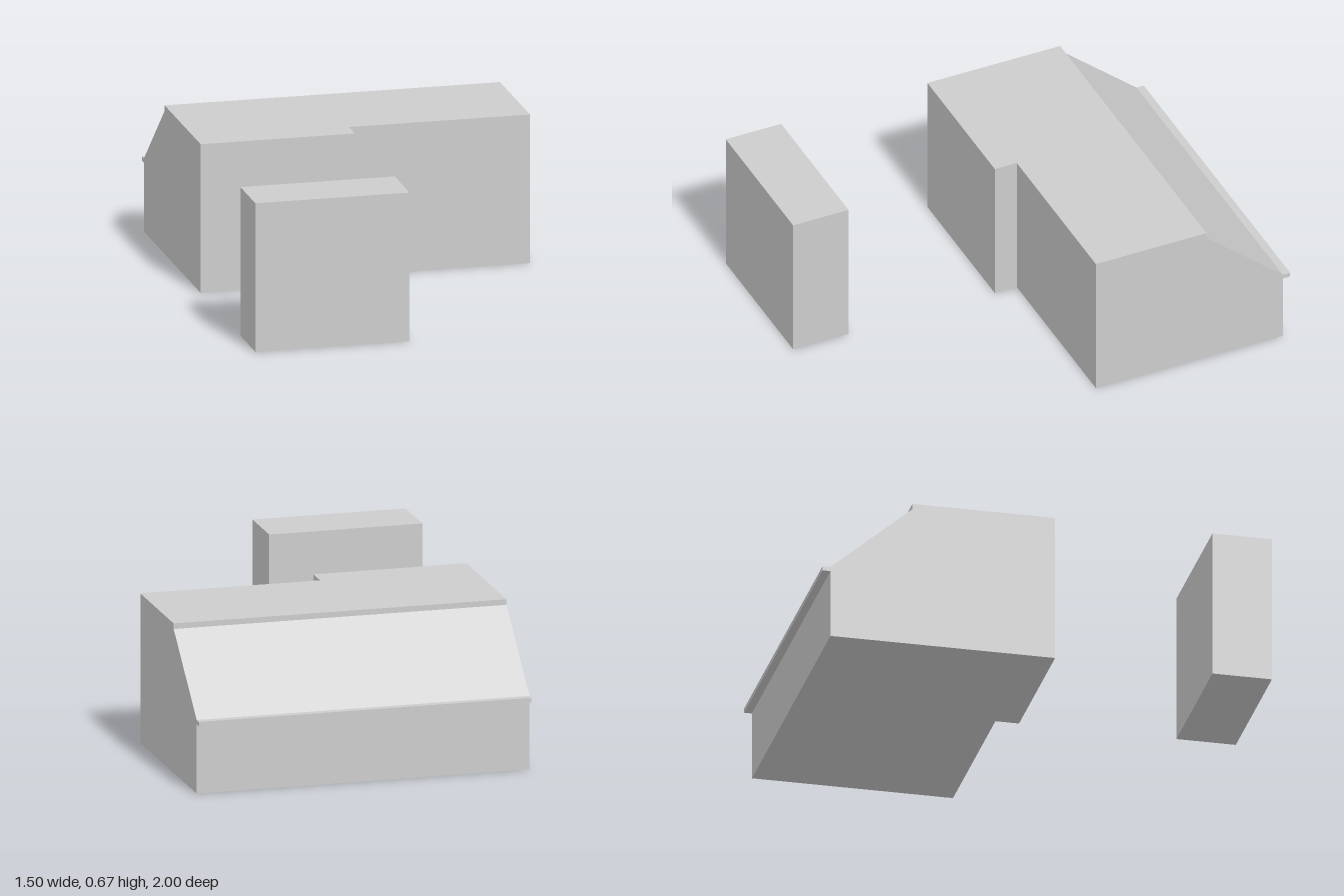
import * as THREE from 'three';

export function createModel() {
  const group = new THREE.Group();
  const grey = new THREE.MeshStandardMaterial({ color: 0xcccccc });
  grey.name = 'plain grey';

  const add = (name, geometry) => {
    const mesh = new THREE.Mesh(geometry, grey);
    mesh.name = name;
    group.add(mesh);
  };

  // Extrudes a side profile of [z, y] points across x
  const extrudeAcross = (points, x0, x1) => {
    const shape = new THREE.Shape(points.map(([z, y]) => new THREE.Vector2(-z, y)));
    return new THREE.ExtrudeGeometry(shape, { depth: x1 - x0, bevelEnabled: false })
      .rotateY(Math.PI / 2)
      .translate(x0, 0, 0);
  };

  // Side profile: flat top, small step, sloping rear roof and a thin eave
  const profile = (front) => [
    [front, 0], [-0.965, 0], [-0.965, 0.31], [-1, 0.31], [-1, 0.33],
    [-0.965, 0.33], [-0.6, 0.645], [-0.6, 0.67], [front, 0.67],
  ];

  // Main building in two bays, the one on the right set further forward
  add('forwardBay', extrudeAcross(profile(0.035), -0.75, -0.06));
  add('recessedBay', extrudeAcross(profile(-0.07), -0.06, 0.75));

  // Detached block standing in front
  add('detachedBlock', new THREE.BoxGeometry(0.69, 0.67, 0.265).translate(-0.405, 0.335, 0.8675));

  return group;
}
